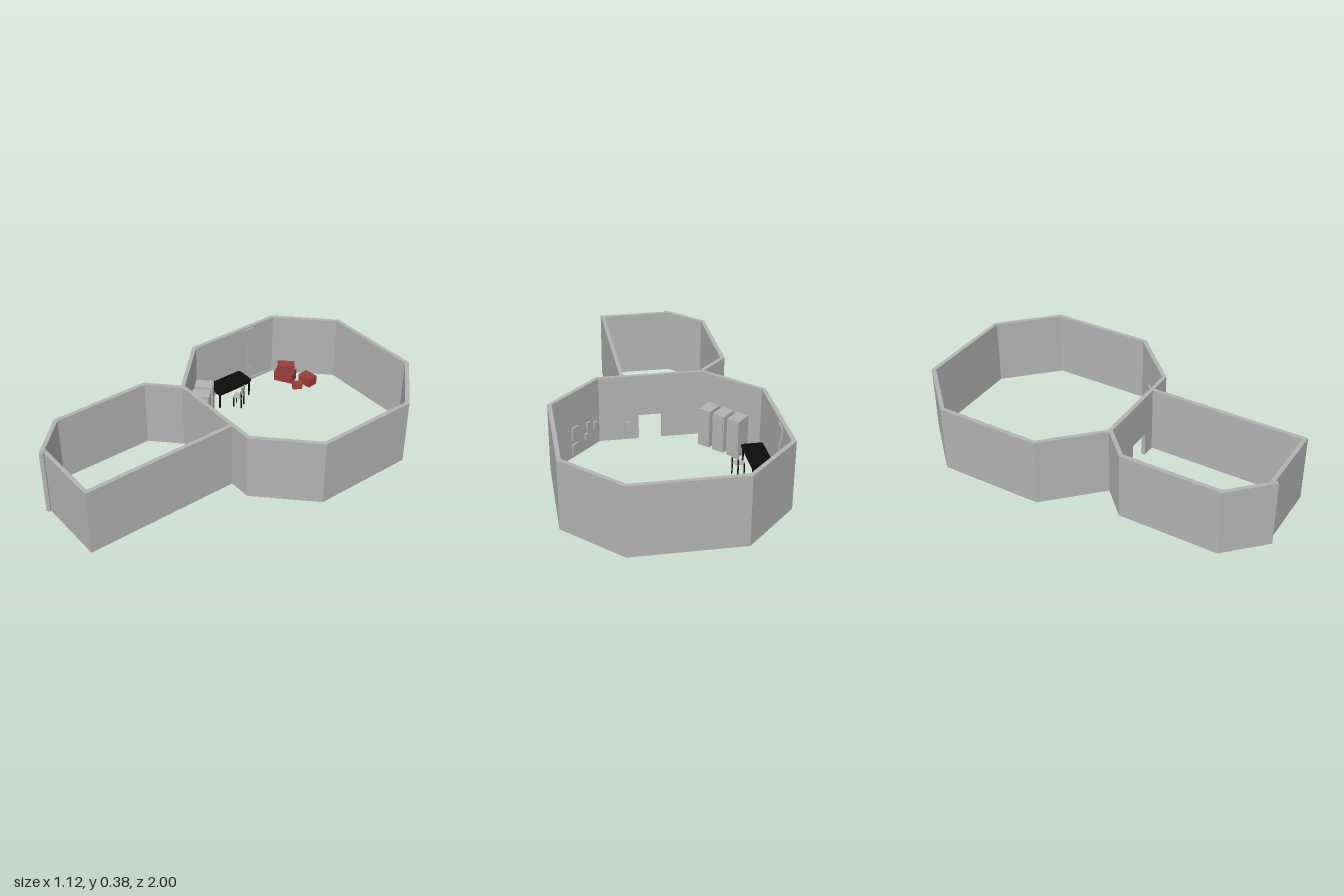
import * as THREE from 'three';

export function createModel() {
  const model = new THREE.Group();
  const paint = (name, color) => {
    const m = new THREE.MeshStandardMaterial({ color });
    m.name = name;
    return m;
  };
  const grey = paint('wall grey', 0xb2b2b2);
  const red = paint('crate red', 0x9a3d38);
  const black = paint('desk black', 0x0c0c0c);

  const group = (name, x = 0, z = 0, turn = 0) => {
    const g = new THREE.Group();
    g.name = name;
    g.position.set(x, 0, z);
    g.rotation.y = turn;
    model.add(g);
    return g;
  };
  // Box centred at x, z and standing on height y
  const box = (parent, name, mat, w, h, d, x, y, z, turn = 0) => {
    const m = new THREE.Mesh(new THREE.BoxGeometry(w, h, d), mat);
    m.name = name;
    m.position.set(x, y + h / 2, z);
    m.rotation.y = turn;
    parent.add(m);
    return m;
  };
  // Upright wall over a footprint of [x, z] corners
  const BASE = 0.008, TOP = 0.38;
  const wall = (parent, name, corners, y0 = BASE, y1 = TOP) => {
    const shape = new THREE.Shape(corners.map(([x, z]) => new THREE.Vector2(x, -z)));
    const geo = new THREE.ExtrudeGeometry(shape, { depth: y1 - y0, bevelEnabled: false });
    geo.rotateX(-Math.PI / 2).translate(0, y0, 0);
    const m = new THREE.Mesh(geo, grey);
    m.name = name;
    parent.add(m);
  };

  // Eight-sided main room, with a doorway in its front wall
  const room = group('mainRoom');
  const ring = (r, c) => [[-c, -r], [c, -r], [r, -c], [r, c], [c, r], [-c, r], [-r, c], [-r, -c]]
    .map(([x, z]) => [x, z - 0.44]);
  const outer = ring(0.562, 0.286), inner = ring(0.54, 0.277);
  outer.forEach((p, i) => {
    const j = (i + 1) % 8;
    if (i !== 4) wall(room, 'roomWall', [p, outer[j], inner[j], inner[i]]);
  });
  const zOut = 0.122, zIn = 0.1, door = 0.063;
  for (const s of [-1, 1]) {
    wall(room, 'doorwayWall', [[s * 0.286, zOut], [s * door, zOut], [s * door, zIn], [s * 0.277, zIn]]);
  }
  wall(room, 'doorLintel', [[-door, zOut], [door, zOut], [door, zIn], [-door, zIn]], 0.148);

  // Smaller room joined to the front
  const annex = group('annex');
  const aOut = [[-0.295, 0.116], [-0.437, 0.256], [-0.437, 0.803], [-0.24, 1.0]];
  const aIn = [[-0.27, 0.122], [-0.415, 0.265], [-0.415, 0.794], [-0.2245, 0.9845]];
  for (let i = 0; i < 3; i++) {
    wall(annex, 'annexWall', [aOut[i], aOut[i + 1], aIn[i + 1], aIn[i]]);
  }
  wall(annex, 'annexFrontWall', [[-0.2245, 0.98], [0.16, 0.98], [0.16, 0.958], [-0.25, 0.958]]);
  wall(annex, 'annexSideWall', [[0.16, 0.958], [0.16, 0.122], [0.138, 0.122], [0.138, 0.958]]);

  // Three tall cabinets along the slanted wall
  for (let i = 0; i < 3; i++) {
    const c = group('cabinet', -0.427 + i * 0.062, -0.133 + i * 0.069, Math.PI * 0.75);
    box(c, 'cabinetBody', grey, 0.071, 0.213, 0.098, 0, 0.002, 0);
    box(c, 'cabinetDoor', grey, 0.059, 0.19, 0.004, 0, 0.014, 0.05);
  }

  // Desk
  const desk = group('desk', -0.48, -0.352);
  const dx = 0.058, dz = 0.117, r = 0.01;
  const top = new THREE.Shape();
  top.moveTo(-dx + r, -dz);
  top.lineTo(dx - r, -dz).quadraticCurveTo(dx, -dz, dx, -dz + r);
  top.lineTo(dx, dz - r).quadraticCurveTo(dx, dz, dx - r, dz);
  top.lineTo(-dx + r, dz).quadraticCurveTo(-dx, dz, -dx, dz - r);
  top.lineTo(-dx, -dz + r).quadraticCurveTo(-dx, -dz, -dx + r, -dz);
  const topGeo = new THREE.ExtrudeGeometry(top, { depth: 0.012, bevelEnabled: false });
  topGeo.rotateX(-Math.PI / 2).translate(0, 0.098, 0);
  const deskTop = new THREE.Mesh(topGeo, black);
  deskTop.name = 'deskTop';
  desk.add(deskTop);
  for (const sx of [-1, 1]) {
    for (const sz of [-1, 1]) box(desk, 'deskLeg', black, 0.008, 0.098, 0.008, sx * 0.048, 0, sz * 0.105);
    box(desk, 'deskRail', black, 0.006, 0.016, 0.21, sx * 0.048, 0.082, 0);
  }
  for (const sz of [-1, 1]) box(desk, 'deskEndRail', black, 0.096, 0.016, 0.006, 0, 0.082, sz * 0.105);

  // Chair facing the desk
  const chair = group('chair', -0.385, -0.345, 0.55);
  box(chair, 'chairSeat', grey, 0.052, 0.006, 0.05, 0, 0.064, 0);
  for (const s of [-1, 1]) {
    box(chair, 'chairFrontLeg', black, 0.005, 0.064, 0.005, -0.022, 0, s * 0.021);
    box(chair, 'chairBackPost', black, 0.005, 0.135, 0.005, 0.024, 0, s * 0.021);
  }
  box(chair, 'chairBack', grey, 0.005, 0.036, 0.05, 0.027, 0.1, 0);

  // Heap of crates in the corner
  const crates = group('crates');
  box(crates, 'lowerCrate', red, 0.115, 0.062, 0.072, -0.43, 0.001, -0.732, 0.52);
  box(crates, 'upperCrate', red, 0.1, 0.045, 0.062, -0.43, 0.063, -0.735, 0.82);
  box(crates, 'sideCrate', red, 0.085, 0.055, 0.065, -0.317, 0.001, -0.81, 0.09);
  const tipped = box(crates, 'smallCrate', red, 0.045, 0.034, 0.055, -0.315, 0.003, -0.728, -0.55);
  tipped.rotation.z = 0.12;

  // Wall panel, its conduit and socket, and a skirting strip
  const panel = group('wallPanel', -0.537, -0.535);
  box(panel, 'panelBox', grey, 0.01, 0.065, 0.07, 0, 0.305, 0);
  box(panel, 'conduit', grey, 0.006, 0.21, 0.008, 0, 0.1, 0);
  box(panel, 'socket', grey, 0.01, 0.026, 0.03, 0, 0.08, 0);
  box(panel, 'skirtingStrip', grey, 0.006, 0.01, 0.56, 0, 0.018, 0.095);

  // Control box beside the doorway
  const control = group('doorControl', 0.122, 0.094);
  box(control, 'controlBox', grey, 0.026, 0.055, 0.014, 0, 0.06, 0);
  box(control, 'controlPost', grey, 0.006, 0.05, 0.006, 0, 0.01, 0.003);

  // Small plaques on the slanted wall: distance along it, height, width, depth of face
  const plaques = group('wallPlaques');
  const [ax, az] = inner[3], [bx, bz] = inner[4];
  [[0.45, 0.115, 0.05, 0.07], [0.45, 0.025, 0.05, 0.062], [0.74, 0.12, 0.026, 0.046],
    [0.69, 0.072, 0.02, 0.034], [0.89, 0.105, 0.026, 0.042]].forEach(([t, y, w, h]) => {
    box(plaques, 'plaque', grey, w, h, 0.012,
      ax + (bx - ax) * t - 0.003, y, az + (bz - az) * t - 0.003, Math.PI / 4);
  });

  return model;
}
